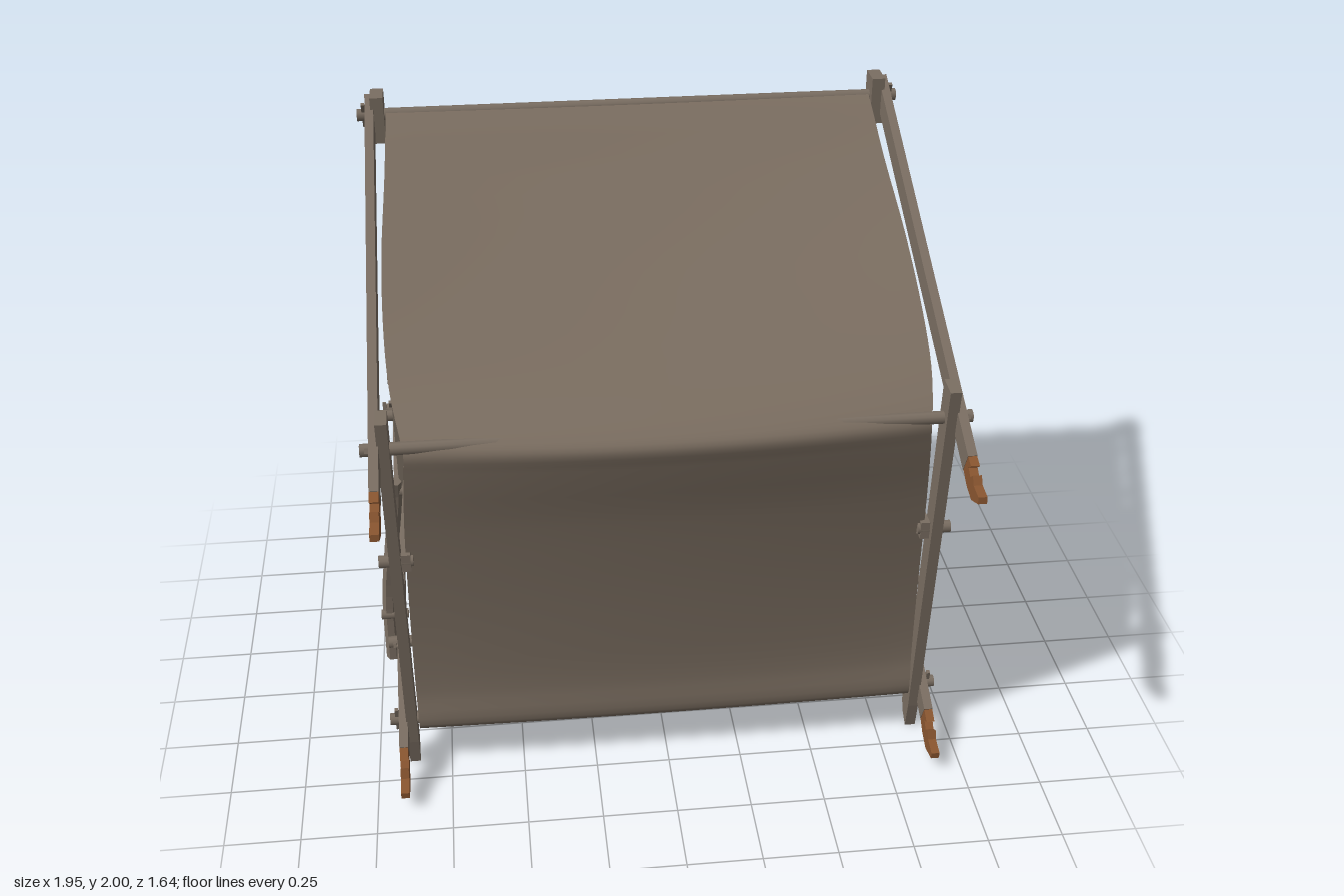
import * as THREE from 'three';

const mat = (name, color, side = THREE.FrontSide) => {
  const m = new THREE.MeshStandardMaterial({ color, side });
  m.name = name;
  return m;
};

export function createModel() {
  const model = new THREE.Group();
  model.name = 'coveredFrame';
  const wood = mat('weatheredWood', 0x7a6e62);
  const cloth = mat('canvas', 0x7a6d60, THREE.DoubleSide);
  const raw = mat('splinteredWood', 0x8a5630);

  const add = (name, geo, material = wood) => {
    const mesh = new THREE.Mesh(geo, material);
    mesh.name = name;
    model.add(mesh);
    return mesh;
  };
  // Flat board whose outline is given as [z, y], centred on x
  const plate = (name, pts, x, thick, material) => {
    const shape = new THREE.Shape(pts.map(p => new THREE.Vector2(p[0], p[1])));
    const geo = new THREE.ExtrudeGeometry(shape, { depth: thick, bevelEnabled: false });
    geo.translate(0, 0, -thick / 2).rotateY(-Math.PI / 2).translate(x, 0, 0);
    return add(name, geo, material);
  };
  // Straight beam between two [z, y] points
  const beam = (name, a, b, width, x, thick) => {
    const dz = b[0] - a[0], dy = b[1] - a[1], k = width / 2 / Math.hypot(dz, dy);
    const nz = -dy * k, ny = dz * k;
    return plate(name, [[a[0] + nz, a[1] + ny], [a[0] - nz, a[1] - ny],
      [b[0] - nz, b[1] - ny], [b[0] + nz, b[1] + ny]], x, thick);
  };
  // Round rod running along x
  const rod = (name, z, y, x0, x1, r = 0.021) => {
    const geo = new THREE.CylinderGeometry(r, r, Math.abs(x1 - x0), 10);
    geo.rotateZ(Math.PI / 2).translate((x0 + x1) / 2, y, z);
    return add(name, geo);
  };
  // Splintered end of a rail: outline along and across the rail
  const splinter = [[0, -0.036], [0.06, -0.05], [0.12, -0.045], [0.175, 0.005], [0.165, 0.025],
    [0.11, 0.012], [0.085, 0.03], [0.07, 0.004], [0.04, 0.012], [0.055, 0.036], [0, 0.036]];
  const tip = (name, z, y, angle, x) => {
    const c = Math.cos(angle), s = Math.sin(angle);
    plate(name, splinter.map(([u, v]) => [z + u * c - v * s, y + u * s + v * c]), x, 0.028, raw);
  };

  // Full-width rods [name, z, y]
  const rods = [
    ['roofRearRod', -0.765, 1.92], ['roofFrontRod', 0.49, 1.33], ['shelfUpperRod', -0.42, 0.91],
    ['shelfLowerRod', -0.42, 0.57], ['rearRod', -0.775, 0.73], ['floorRod', 0.13, 0.31],
    ['frontBottomRod', 0.39, 0.18]
  ];
  rods.forEach(([name, z, y]) => rod(name, z, y, -0.95, 0.95));

  for (const s of [-1, 1]) {
    // Sloping rails with broken front ends
    beam('roofRail', [0.66, 1.265], [-0.805, 1.95], 0.08, s * 0.905, 0.03);
    beam('lowerRail', [0.5, 0.125], [-0.81, 0.74], 0.078, s * 0.905, 0.03);
    tip('roofRailBrokenEnd', 0.65, 1.27, -0.33, s * 0.905);
    tip('lowerRailBrokenEnd', 0.49, 0.13, -0.5, s * 0.905);
    // Front upright with a rounded foot
    plate('upright', [[0.54, 1.445], [0.46, 1.45], [0.385, 0.4], [0.345, 0.07], [0.365, 0.03],
      [0.41, 0.0], [0.425, 0.1], [0.45, 0.4]], s * 0.877, 0.036);
    // Rear blocks, shelf posts and side brace
    plate('roofRearBlock', [[-0.815, 1.83], [-0.72, 1.83], [-0.72, 1.995], [-0.815, 1.995]], s * 0.878, 0.045);
    plate('rearBlock', [[-0.815, 0.63], [-0.71, 0.63], [-0.71, 0.94], [-0.815, 0.94]], s * 0.875, 0.045);
    plate('sidePost', [[-0.46, 0.53], [-0.375, 0.53], [-0.375, 0.98], [-0.46, 0.98]], s * 0.875, 0.045);
    beam('sideBrace', [0.47, 0.885], [-0.8, 0.868], 0.062, s * 0.843, 0.03);
    rod('uprightPeg', 0.45, 0.885, s * 0.82, s * 0.93);
    rod('rearBlockPeg', -0.765, 0.868, s * 0.82, s * 0.93);
    // Crooked stick lashed to the outside
    const path = new THREE.CatmullRomCurve3([[0.885, 0.925, 0.045], [0.89, 0.84, 0.03],
      [0.92, 0.62, 0.03], [0.943, 0.42, 0.012], [0.948, 0.16, 0.02]]
      .map(([x, y, z]) => new THREE.Vector3(s * x, y, z)));
    const section = new THREE.Shape();
    section.absarc(0, 0, 0.024, 0, Math.PI * 2);
    add('crookedStick', new THREE.ExtrudeGeometry(section,
      { steps: 14, curveSegments: 3, extrudePath: path, bevelEnabled: false }));
    rod('stickLowerPeg', 0.02, 0.35, s * 0.88, s * 0.975, 0.018);
    rod('stickUpperPeg', 0.035, 0.88, s * 0.82, s * 0.925, 0.018);
    // Thin wedges pinning the rod ends
    rods.forEach(([, z, y], i) => {
      const pin = add('wedgePin', new THREE.BoxGeometry(0.012, 0.1, 0.014));
      pin.position.set(s * 0.927, y, z);
      pin.rotation.x = [0.4, 1.1, -0.2, 0.3, 0.5, 1.2, 0.2][i];
    });
  }

  // Inner shelf supports
  for (const x of [-0.29, 0.26]) {
    plate('innerPost', [[-0.455, 0.53], [-0.385, 0.53], [-0.385, 0.96], [-0.455, 0.96]], x, 0.05);
    plate('innerRearBlock', [[-0.815, 0.64], [-0.74, 0.64], [-0.74, 0.81], [-0.815, 0.81]], x, 0.09);
    beam('innerBrace', [-0.4, 0.845], [-0.78, 0.725], 0.075, x + 0.045, 0.04);
  }

  // Canvas: rows of [z, y, half width, forward bulge, sag] from the roof's rear to the bottom flap
  const rows = [
    [-0.785, 1.935, 0.85, 0, 0], [-0.74, 1.928, 0.85, 0, 0.004], [-0.5, 1.795, 0.86, 0, 0.02],
    [-0.2, 1.645, 0.875, 0, 0.03], [0.1, 1.51, 0.872, 0.01, 0.025], [0.32, 1.42, 0.855, 0.025, 0.01],
    [0.46, 1.357, 0.83, 0.04, 0], [0.505, 1.315, 0.82, 0.05, 0], [0.5, 1.24, 0.825, 0.045, 0],
    [0.462, 1.0, 0.84, 0.035, 0], [0.425, 0.6, 0.85, 0.03, 0], [0.425, 0.32, 0.852, 0.02, 0],
    [0.445, 0.19, 0.85, 0.01, 0], [0.42, 0.158, 0.85, 0.01, 0], [0.21, 0.156, 0.84, 0.03, 0]
  ];
  const nx = 18, ny = 56;
  const spine = new THREE.CatmullRomCurve3(rows.map(r => new THREE.Vector3(r[2], r[1], r[0])), false, 'centripetal');
  const shape = new THREE.CatmullRomCurve3(rows.map(r => new THREE.Vector3(r[3], r[4], 0)), false, 'catmullrom', 0.3);
  const geo = new THREE.PlaneGeometry(2, 1, nx, ny);
  const pos = geo.attributes.position;
  for (let i = 0; i < pos.count; i++) {
    const u = pos.getX(i), t = 0.5 - pos.getY(i);
    const p = spine.getPoint(t), q = shape.getPoint(t), mid = 1 - u * u;
    pos.setXYZ(i, u * p.x, p.y - q.y * mid, p.z + q.x * mid);
  }
  geo.computeVertexNormals();
  add('canvasCover', geo, cloth);

  return model;
}
